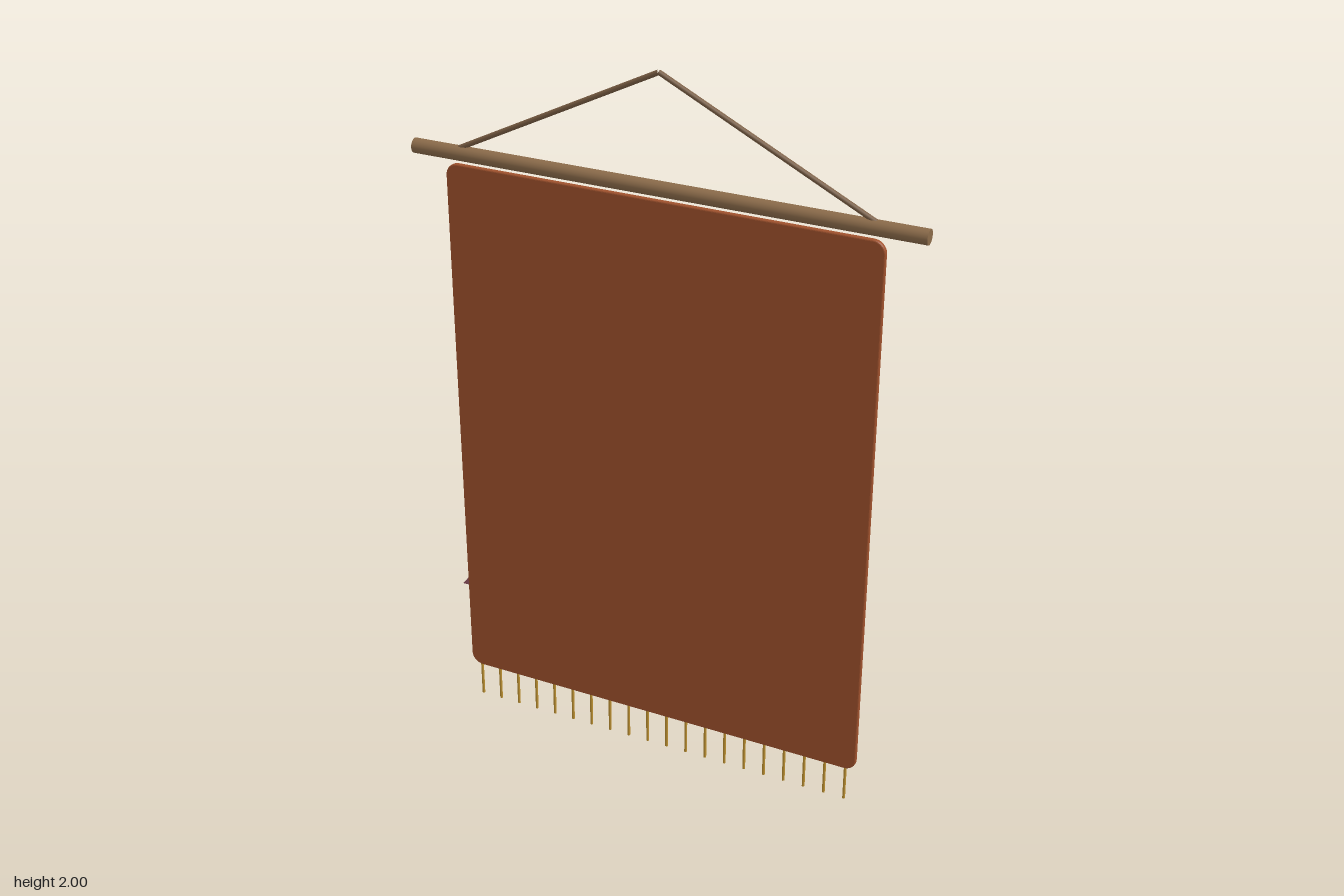
import * as THREE from 'three';

const mat = (name, color) => {
  const m = new THREE.MeshStandardMaterial({ color });
  m.name = name;
  return m;
};

export function createModel() {
  const cloth = mat('rust cloth', 0xa0522d);
  const wood = mat('wood', 0x8b6b4a);
  const cord = mat('cord', 0x7c5f44);
  const gold = mat('gold', 0xc09333);
  const rose = mat('rose', 0xa05a68);
  const snow = mat('snow', 0xe6dccd);
  const green = mat('pine green', 0x35674c);

  const group = new THREE.Group();
  const add = (name, geometry, material, x = 0, y = 0, z = 0) => {
    const mesh = new THREE.Mesh(geometry, material);
    mesh.name = name;
    mesh.position.set(x, y, z);
    group.add(mesh);
    return mesh;
  };

  // Cloth panel with rounded corners and a softened rim
  const w = 0.596, y0 = 0.109, y1 = 1.666, r = 0.03;
  const outline = new THREE.Shape();
  outline.absarc(w - r, y0 + r, r, -Math.PI / 2, 0);
  outline.absarc(w - r, y1 - r, r, 0, Math.PI / 2);
  outline.absarc(-w + r, y1 - r, r, Math.PI / 2, Math.PI);
  outline.absarc(-w + r, y0 + r, r, Math.PI, Math.PI * 1.5);
  add('clothPanel', new THREE.ExtrudeGeometry(outline, {
    depth: 0.006, bevelThickness: 0.004, bevelSize: 0.004, bevelSegments: 3, curveSegments: 6,
  }), cloth, 0, 0, 0.008);

  // Hanging rod
  const rod = add('rod', new THREE.CylinderGeometry(0.02, 0.02, 1.4, 20), wood, 0, 1.695, 0);
  rod.rotation.z = Math.PI / 2;

  // Hanging cord, one straight run per side
  for (const side of [-1, 1]) {
    const run = new THREE.LineCurve3(new THREE.Vector3(side * 0.575, 1.705, 0), new THREE.Vector3(0, 1.993, 0));
    add('hangingCord', new THREE.TubeGeometry(run, 1, 0.007, 8), cord);
  }

  // Fringe threads
  const thread = new THREE.CylinderGeometry(0.004, 0.004, 0.12, 6);
  for (let i = 0; i < 20; i++) add('fringeThread', thread, gold, -0.57 + i * 0.06, 0.06, 0.012);

  // Thin triangular patch with pillowed normals, sewn on the back
  const patch = (name, material, x, base, apex, half, zBack, zFront) => {
    const corners = [[-half, base], [half, base], [0, apex]];
    const cy = base + (apex - base) / 3;
    const pos = [], nor = [];
    for (const [z, dir] of [[zBack, -1], [zFront, 1]]) {
      for (const [px, py] of corners) {
        const n = new THREE.Vector3(px, py - cy, 0).normalize().multiplyScalar(1.3);
        n.z = dir;
        n.normalize();
        pos.push(px, py, z);
        nor.push(n.x, n.y, n.z);
      }
    }
    const g = new THREE.BufferGeometry();
    g.setAttribute('position', new THREE.Float32BufferAttribute(pos, 3));
    g.setAttribute('normal', new THREE.Float32BufferAttribute(nor, 3));
    const index = [0, 2, 1, 3, 4, 5];
    for (let i = 0; i < 3; i++) {
      const j = (i + 1) % 3;
      index.push(i, j, j + 3, i, j + 3, i + 3);
    }
    g.setIndex(index);
    add(name, g, material, x, 0, 0);
  };

  // Mountains, the patch where they overlap, and their snow caps
  patch('largeMountain', gold, 0.19, 0.37, 1.03, 0.385, -0.001, 0.006);
  patch('smallMountain', rose, -0.235, 0.367, 0.865, 0.39, 0.0, 0.006);
  patch('mountainOverlap', gold, -0.02, 0.368, 0.618, 0.173, -0.003, 0.003);
  patch('largeSnowCap', snow, 0.19, 0.847, 1.032, 0.109, -0.008, -0.001);
  patch('smallSnowCap', snow, -0.235, 0.687, 0.867, 0.106, -0.008, -0.001);

  // Pine trees
  for (const x of [0.305, 0.003, -0.3]) patch('pineTree', green, x, 0.215, 0.46, 0.076, -0.012, -0.004);

  // Sun disc
  const sun = add('sun', new THREE.CylinderGeometry(0.085, 0.085, 0.009, 32), gold, -0.355, 1.39, -0.001);
  sun.rotation.x = Math.PI / 2;

  return group;
}
